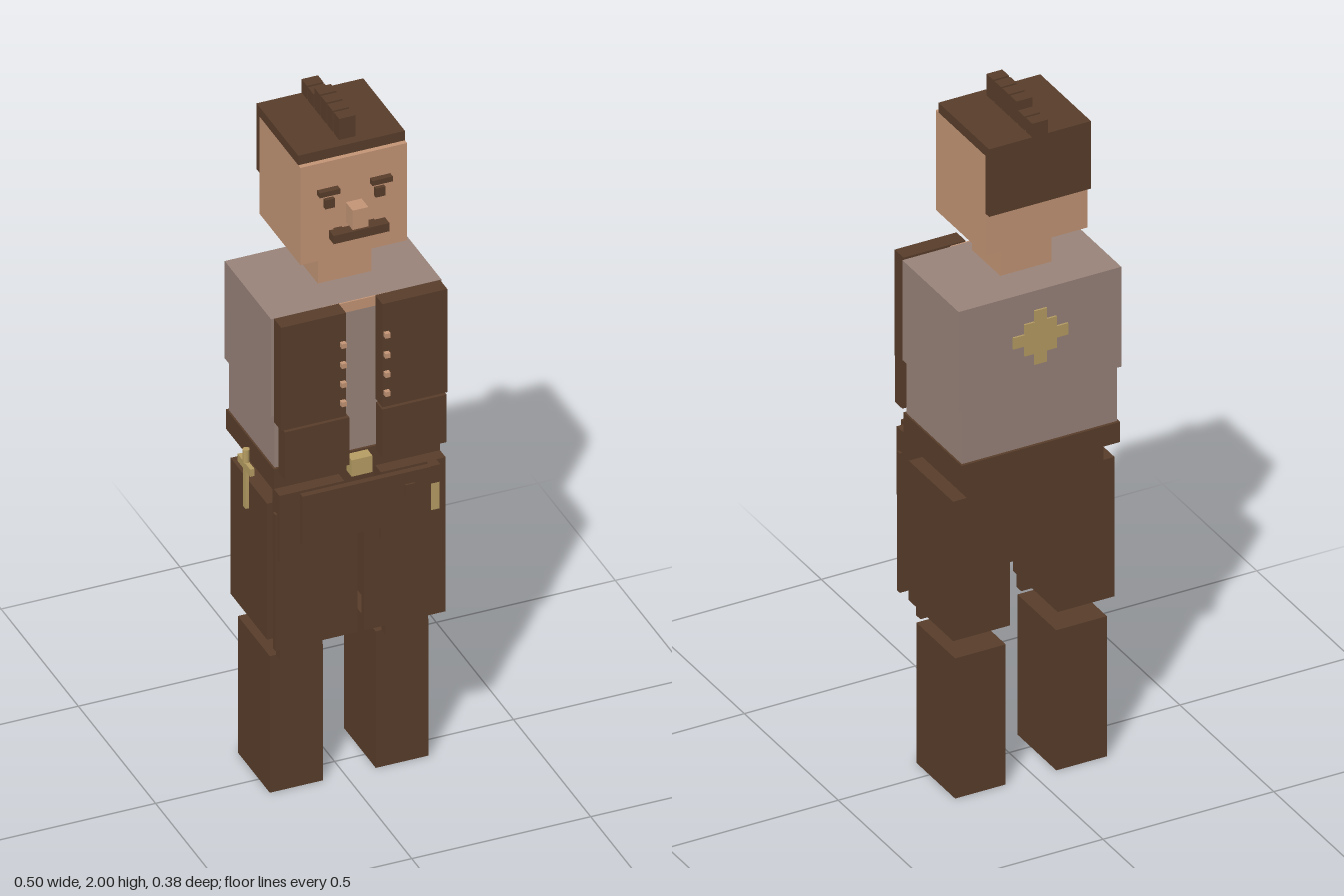
import * as THREE from 'three';

const mat = (name, color) => Object.assign(new THREE.MeshStandardMaterial({ color }), { name });

export function createModel() {
  const skin = mat('skin', 0xc69777);
  const shirt = mat('shirt', 0x9b857b);
  const brown = mat('brown', 0x5a3e2b);
  const gold = mat('gold', 0xb89f64);

  const model = new THREE.Group();
  model.name = 'blockFigure';
  const MID = 0.011; // the body's plane of symmetry

  // Box given by its limits on each axis
  function box(name, material, [x0, x1], [y0, y1], [z0, z1]) {
    const mesh = new THREE.Mesh(new THREE.BoxGeometry(x1 - x0, y1 - y0, z1 - z0), material);
    mesh.position.set((x0 + x1) / 2, (y0 + y1) / 2, (z0 + z1) / 2);
    mesh.name = name;
    model.add(mesh);
    return mesh;
  }
  // Mirrored pair; x limits are distances from the plane of symmetry
  function pair(name, material, [a, b], y, z) {
    box(name + 'Left', material, [MID + a, MID + b], y, z);
    box(name + 'Right', material, [MID - b, MID - a], y, z);
  }
  const mid = (half) => [MID - half, MID + half];

  // Head and neck
  box('head', skin, mid(0.149), [1.61, 1.907], [-0.167, 0.099]);
  box('neck', skin, mid(0.075), [1.5, 1.61], [-0.11, 0.04]);
  box('nose', skin, mid(0.022), [1.71, 1.77], [0.099, 0.143]);
  pair('brow', brown, [0.045, 0.102], [1.812, 1.827], [0.099, 0.116]);
  pair('eye', brown, [0.057, 0.084], [1.77, 1.797], [0.099, 0.11]);
  box('moustache', brown, mid(0.078), [1.686, 1.711], [0.12, 0.15]);
  pair('moustacheTip', brown, [0.034, 0.056], [1.673, 1.7], [0.099, 0.116]);

  // Hair: cap, back sheet and a crest of tufts
  box('hairCap', brown, mid(0.149), [1.907, 1.936], [-0.185, 0.085]);
  box('hairBack', brown, mid(0.149), [1.735, 1.907], [-0.185, -0.167]);
  for (let i = 0; i < 6; i++) {
    const z = -0.186 + i * 0.0418;
    box('hairTuft', brown, mid(0.023), [1.936, i < 2 ? 1.977 : 2], [z, z + 0.035]);
  }

  // Torso
  box('chest', shirt, mid(0.238), [1.18, 1.477], [-0.185, 0.115]);
  box('waist', shirt, mid(0.227), [1.02, 1.18], [-0.182, 0.113]);
  box('collar', skin, mid(0.097), [1.447, 1.477], [0.115, 0.119]);

  // Open vest with two rows of buttons
  pair('vestUpper', brown, [0.051, 0.232], [1.165, 1.48], [0.12, 0.167]);
  pair('vestLower', brown, [0.046, 0.226], [1.02, 1.165], [0.137, 0.177]);
  for (const y of [1.21, 1.268, 1.327, 1.388])
    pair('vestButton', skin, [0.054, 0.068], [y - 0.007, y + 0.007], [0.166, 0.18]);

  // Emblem on the back: square with four stubs
  box('emblemSquare', gold, mid(0.047), [1.293, 1.387], [-0.19, -0.185]);
  pair('emblemStub', gold, [0.047, 0.08], [1.323, 1.357], [-0.19, -0.185]);
  for (const y of [1.26, 1.387])
    box('emblemStub', gold, mid(0.018), [y, y + 0.033], [-0.19, -0.185]);

  // Belt and hips
  box('belt', brown, mid(0.232), [0.96, 1.02], [-0.19, 0.12]);
  box('buckle', gold, mid(0.029), [0.965, 1.015], [0.12, 0.153]);
  box('hips', brown, mid(0.196), [0.81, 0.96], [-0.166, 0.1]);
  pair('pocket', brown, [0.051, 0.232], [0.757, 0.96], [0.112, 0.156]);

  // Loop on the back of the hips
  box('backLoopBar', brown, [-0.03, 0.09], [0.91, 0.953], [-0.175, -0.166]);
  for (const x of [-0.012, 0.042])
    box('backLoopLeg', brown, [x, x + 0.033], [0.87, 0.91], [-0.175, -0.166]);

  // Front pouch with a stud and a small tool beside it
  box('pouch', brown, [-0.168, 0.19], [0.81, 0.96], [0.166, 0.183]);
  box('pouchStud', brown, [0.117, 0.144], [0.895, 0.925], [0.183, 0.188]);
  box('toolGrip', brown, [0.19, 0.217], [0.907, 0.96], [0.156, 0.181]);
  box('toolShaft', gold, [0.19, 0.215], [0.825, 0.907], [0.158, 0.18]);

  // Dagger hanging on the right hip
  box('daggerGuard', gold, [-0.248, -0.236], [0.95, 0.972], [-0.053, 0.029]);
  box('daggerBlade', gold, [-0.247, -0.237], [0.832, 0.95], [-0.02, -0.004]);
  const hilt = new THREE.Mesh(new THREE.CylinderGeometry(0.01, 0.01, 0.04, 8), gold);
  hilt.name = 'daggerHilt';
  hilt.position.set(-0.242, 0.99, -0.012);
  model.add(hilt);

  // Legs
  pair('thigh', brown, [0.07, 0.236], [0.48, 0.895], [-0.152, 0.085]);
  pair('thighGuard', brown, [0.009, 0.238], [0.48, 0.895], [0.128, 0.143]);
  pair('knee', brown, [0.088, 0.207], [0.42, 0.505], [0.075, 0.1]);
  pair('shin', brown, [0.074, 0.222], [0, 0.417], [-0.137, 0.07]);

  return model;
}
